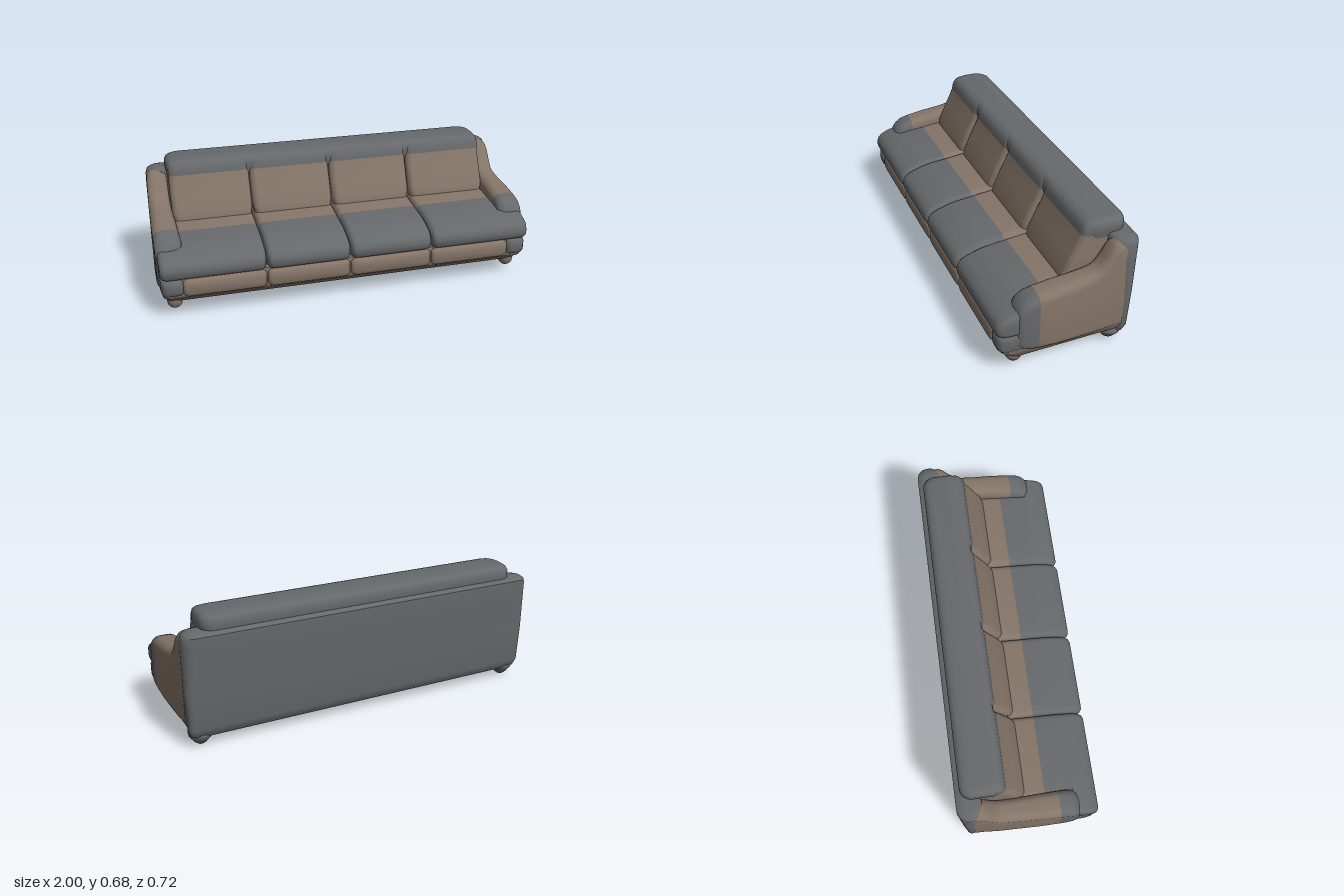
import * as THREE from 'three';
import { toCreasedNormals } from 'three/addons/utils/BufferGeometryUtils.js';

const grey = new THREE.MeshStandardMaterial({ color: 0x66696b });
const brown = new THREE.MeshStandardMaterial({ color: 0x857568 });

// Skin rounded-rectangle sections [position, a0, a1, b0, b1] stacked along an axis.
// Axis 'z': a is x and b is y. Axis 'y': a is z and b is x.
function loft(axis, sections, radius) {
  const pos = [], index = [], steps = 6, n = 4 * (steps + 1);
  const put = (a, b, c) => (axis === 'z' ? pos.push(a, b, c) : pos.push(b, c, a));
  for (const [c, a0, a1, b0, b1] of sections) {
    const r = Math.min(radius, (a1 - a0) / 2.05, (b1 - b0) / 2.05);
    for (let q = 0; q < 4; q++) {
      const ca = q === 0 || q === 3 ? a1 - r : a0 + r;
      const cb = q < 2 ? b1 - r : b0 + r;
      for (let s = 0; s <= steps; s++) {
        const t = (q + s / steps) * Math.PI / 2;
        put(ca + r * Math.cos(t), cb + r * Math.sin(t), c);
      }
    }
  }
  const last = (sections.length - 1) * n;
  for (let i = 0; i < last; i += n) {
    for (let j = 0; j < n; j++) {
      const k = (j + 1) % n;
      index.push(i + j, i + k, i + n + k, i + j, i + n + k, i + n + j);
    }
  }
  // End caps
  for (const s of [sections[0], sections[sections.length - 1]]) {
    put((s[1] + s[2]) / 2, (s[3] + s[4]) / 2, s[0]);
  }
  for (let j = 0; j < n; j++) {
    const k = (j + 1) % n;
    index.push(last + n, k, j, last + n + 1, last + j, last + k);
  }
  const g = new THREE.BufferGeometry();
  g.setAttribute('position', new THREE.Float32BufferAttribute(pos, 3));
  g.setIndex(index);
  return toCreasedNormals(g, 0.8);
}

export function createModel() {
  const sofa = new THREE.Group();
  sofa.name = 'sofa';
  const add = (name, geometry, material) => {
    const mesh = new THREE.Mesh(geometry, material);
    mesh.name = name;
    sofa.add(mesh);
    return mesh;
  };

  // Underframe
  add('underframe', loft('y', [
    [0.066, -0.31, 0.25, -0.945, 0.945],
    [0.08, -0.318, 0.28, -0.96, 0.96],
    [0.1, -0.32, 0.3, -0.97, 0.97],
    [0.12, -0.32, 0.328, -0.978, 0.978],
    [0.135, -0.32, 0.336, -0.98, 0.98],
    [0.23, -0.32, 0.325, -0.97, 0.97],
  ], 0.04), brown);

  // Back panel, leaning slightly backward
  add('backPanel', loft('y', [
    [0.055, -0.315, -0.26, -0.95, 0.95],
    [0.065, -0.322, -0.265, -0.968, 0.968],
    [0.1, -0.33, -0.28, -0.98, 0.98],
    [0.3, -0.342, -0.265, -0.988, 0.988],
    [0.5, -0.356, -0.24, -0.988, 0.988],
    [0.57, -0.361, -0.235, -0.986, 0.986],
    [0.59, -0.361, -0.235, -0.98, 0.98],
    [0.602, -0.345, -0.245, -0.965, 0.965],
    [0.606, -0.325, -0.26, -0.94, 0.94],
  ], 0.06), grey);

  // Long roll along the top of the back
  add('backRoll', loft('y', [
    [0.55, -0.325, -0.13, -0.87, 0.87],
    [0.61, -0.336, -0.118, -0.885, 0.885],
    [0.645, -0.335, -0.122, -0.885, 0.885],
    [0.663, -0.328, -0.132, -0.877, 0.877],
    [0.674, -0.31, -0.145, -0.865, 0.865],
    [0.678, -0.285, -0.165, -0.845, 0.845],
  ], 0.06), grey);

  // Four seats: front apron, seat cushion and back cushion
  const seams = [-0.88, -0.45, -0.01, 0.435, 0.88];
  for (let i = 0; i < 4; i++) {
    const l = seams[i] + 0.002, r = seams[i + 1] - 0.002;
    // The end cushions widen in front of the arms
    const wl = i === 0 ? -0.988 : l, wr = i === 3 ? 0.988 : r;

    add('apron', loft('z', [
      [0.25, l, r, 0.125, 0.222],
      [0.33, l, r, 0.125, 0.222],
      [0.343, l + 0.005, r - 0.005, 0.132, 0.216],
      [0.35, l + 0.018, r - 0.018, 0.145, 0.203],
    ], 0.025), brown);

    add('seatCushionRear', loft('z', [
      [-0.12, l, r, 0.22, 0.398],
      [0, l, r, 0.22, 0.386],
      [0.09, l, r, 0.22, 0.376],
    ], 0.03), brown);
    add('seatCushionFront', loft('z', [
      [0.09, l, r, 0.22, 0.376],
      [0.18, l, r, 0.22, 0.368],
      [0.235, l, r, 0.22, 0.358],
      [0.245, wl, wr, 0.22, 0.355],
      [0.3, wl, wr, 0.222, 0.338],
      [0.33, wl + 0.002, wr - 0.002, 0.226, 0.324],
      [0.35, wl + 0.008, wr - 0.008, 0.234, 0.308],
      [0.36, wl + 0.022, wr - 0.022, 0.25, 0.29],
    ], 0.03), grey);

    add('backCushionFace', loft('y', [
      [0.33, -0.28, -0.012, l + 0.02, r - 0.02],
      [0.38, -0.28, -0.01, l + 0.008, r - 0.008],
      [0.42, -0.29, -0.022, l, r],
      [0.5, -0.3, -0.058, l, r],
      [0.56, -0.31, -0.088, l, r],
      [0.605, -0.31, -0.107, l, r],
    ], 0.035), brown);
    add('backCushionTop', loft('y', [
      [0.605, -0.31, -0.107, l, r],
      [0.635, -0.31, -0.113, l, r],
      [0.658, -0.3, -0.125, l + 0.003, r - 0.003],
      [0.669, -0.28, -0.138, l + 0.01, r - 0.01],
      [0.675, -0.26, -0.158, l + 0.025, r - 0.025],
    ], 0.035), grey);
  }

  // Arms, listed as [z, inner x, outer x, bottom, top]
  const armPanel = [
    [-0.29, 0.88, 0.985, 0.1, 0.6],
    [-0.24, 0.88, 0.986, 0.1, 0.597],
    [-0.22, 0.88, 0.988, 0.1, 0.577],
    [-0.19, 0.88, 0.99, 0.1, 0.527],
    [-0.16, 0.878, 0.992, 0.1, 0.485],
    [-0.13, 0.876, 0.993, 0.1, 0.466],
    [-0.05, 0.872, 0.995, 0.1, 0.45],
    [0.05, 0.866, 0.998, 0.102, 0.438],
    [0.155, 0.862, 0.998, 0.108, 0.422],
  ];
  const armFront = [
    [0.155, 0.862, 0.998, 0.108, 0.422],
    [0.2, 0.86, 0.998, 0.115, 0.41],
    [0.23, 0.862, 0.996, 0.125, 0.39],
    [0.25, 0.87, 0.992, 0.135, 0.366],
    [0.262, 0.885, 0.98, 0.15, 0.345],
    [0.268, 0.905, 0.96, 0.18, 0.32],
  ];
  // Low block below the widened end of the seat cushion
  const cornerBlock = [
    [0.22, 0.872, 0.99, 0.132, 0.235],
    [0.3, 0.872, 0.986, 0.132, 0.232],
    [0.33, 0.874, 0.98, 0.134, 0.226],
    [0.345, 0.882, 0.968, 0.142, 0.216],
    [0.351, 0.9, 0.95, 0.16, 0.2],
  ];
  const mirrored = (list) => list.map(([z, a, b, c, d]) => [z, -b, -a, c, d]);

  // Turned feet
  const lathe = (points) => new THREE.LatheGeometry(points.map(([x, y]) => new THREE.Vector2(x, y)), 20);
  const frontFoot = lathe([[0, 0.034], [0.016, 0.036], [0.028, 0.044], [0.037, 0.056], [0.04, 0.075], [0.042, 0.11]]);
  const rearFoot = lathe([[0, 0], [0.018, 0.003], [0.032, 0.014], [0.045, 0.03], [0.058, 0.046], [0.062, 0.066], [0.05, 0.08]]);

  for (const side of [1, -1]) {
    const label = side > 0 ? 'left' : 'right';
    const flip = side > 0 ? (list) => list : mirrored;
    add(label + 'ArmPanel', loft('z', flip(armPanel), 0.045), brown);
    add(label + 'ArmFront', loft('z', flip(armFront), 0.045), grey);
    add(label + 'CornerBlock', loft('z', flip(cornerBlock), 0.025), grey);
    add(label + 'FrontFoot', frontFoot, brown).position.set(side * 0.918, 0, 0.252);
    add(label + 'RearFoot', rearFoot, grey).position.set(side * 0.908, 0, -0.264);
  }
  return sofa;
}
